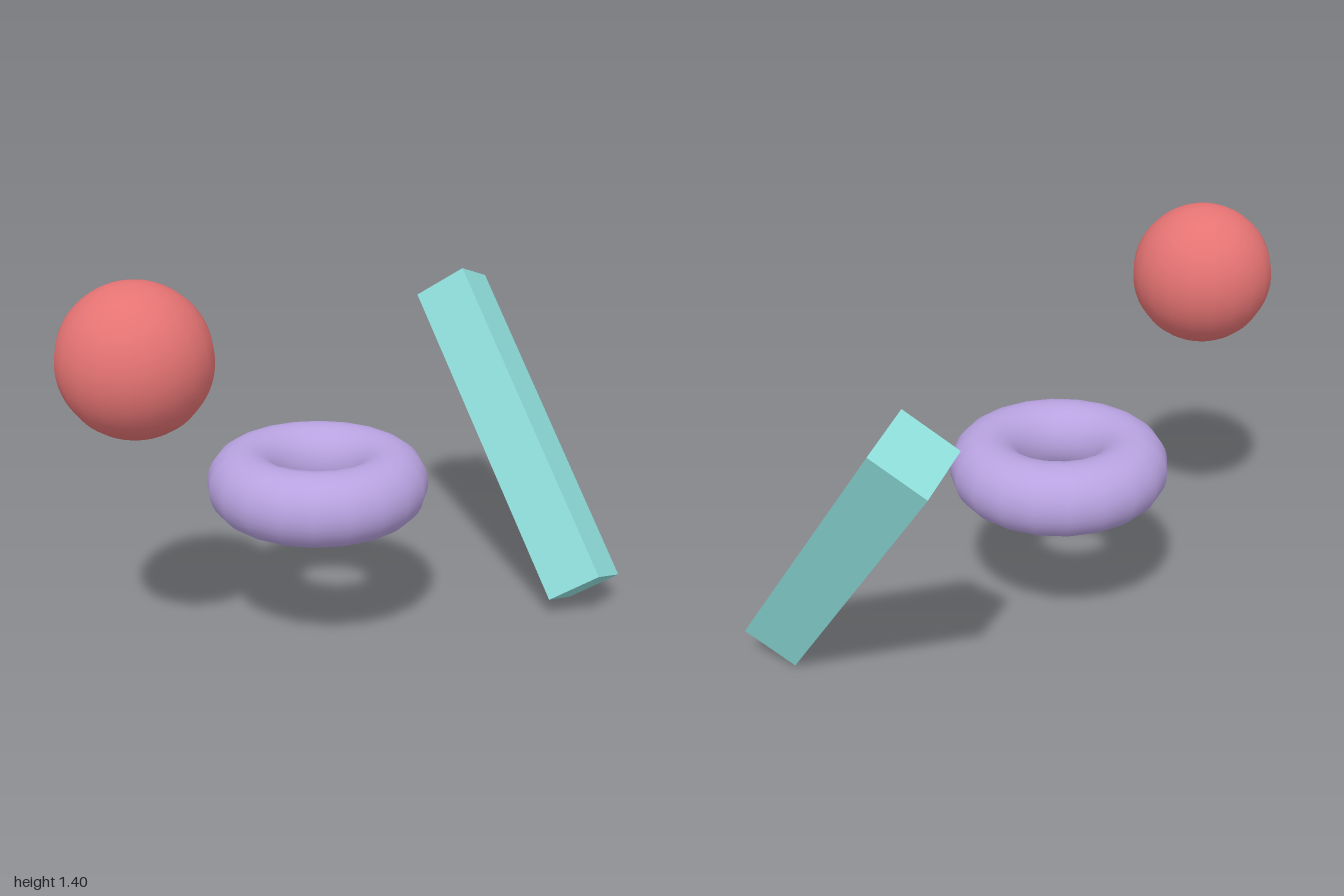
import * as THREE from 'three';

const rad = THREE.MathUtils.degToRad;

function addPart(group, name, geometry, color, position) {
  const mesh = new THREE.Mesh(geometry, new THREE.MeshStandardMaterial({ color }));
  mesh.name = name;
  mesh.position.set(...position);
  group.add(mesh);
  return mesh;
}

export function createModel() {
  const model = new THREE.Group();
  model.name = 'floatingShapes';

  // Ball, upper right side
  addPart(model, 'ball', new THREE.SphereGeometry(0.252, 20, 32), 0xe57373, [-0.75, 1.15, 0]);

  // Ring lying flat in the middle
  const ring = new THREE.TorusGeometry(0.259, 0.128, 32, 20).rotateX(Math.PI / 2);
  addPart(model, 'ring', ring, 0xb8a2e0, [-0.06, 0.59, 0]);

  // Square bar, turned about its length and then leaning back
  const bar = addPart(model, 'leaningBar', new THREE.BoxGeometry(0.212, 1.284, 0.212), 0x8fdfdc, [0.855, 0.59, 0]);
  bar.rotation.set(rad(-40), rad(30), 0);

  return model;
}
